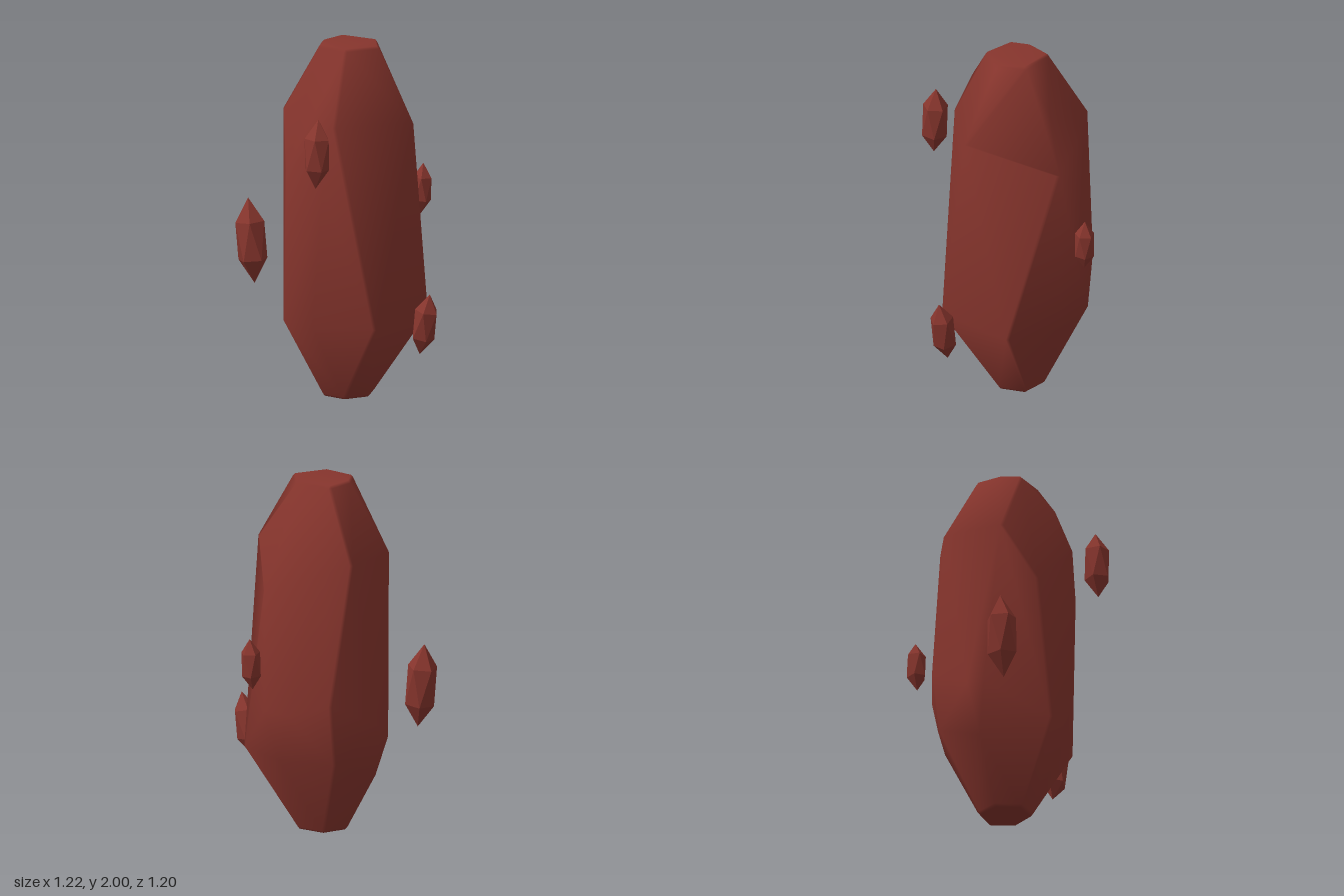
import * as THREE from 'three';
import { ConvexGeometry } from 'three/addons/geometries/ConvexGeometry.js';
import { mergeVertices } from 'three/addons/utils/BufferGeometryUtils.js';

const stone = new THREE.MeshStandardMaterial({ color: 0x87352d });
const stoneFlat = new THREE.MeshStandardMaterial({ color: 0x87352d, flatShading: true });

// Corners of the monolith as [x, y, z], from the flat top down to the base
const CORNERS = [
  // top cap
  [0.16, 2, 0.02], [0.06, 2, 0.19], [-0.12, 2, 0.18], [-0.17, 2, 0.08], [-0.15, 2, -0.07], [0.06, 2, -0.1],
  // shoulders
  [0.04, 1.82, 0.31], [0.03, 1.75, -0.25],
  [0.41, 1.6, 0.03], [0.12, 1.6, 0.38], [-0.37, 1.6, 0.18], [-0.37, 1.6, -0.17],
  [-0.25, 1.55, -0.25], [0.08, 1.43, -0.38],
  // waist
  [0.08, 1.27, 0.42], [-0.24, 1.3, 0.34], [-0.09, 0.74, -0.38], [0.08, 0.74, -0.38],
  [-0.3, 0.8, -0.28], [-0.435, 0.65, 0], [-0.42, 0.65, 0.1],
  // lower ring
  [0.33, 0.46, -0.22], [0.33, 0.46, 0.28], [0, 0.46, 0.41], [-0.2, 0.46, 0.41],
  [-0.37, 0.35, 0.05], [-0.3, 0.46, -0.24], [0, 0.46, -0.34],
  // base
  [0.11, 0, 0.04], [0.04, 0, 0.17], [-0.1, 0, 0.17], [-0.17, 0, 0.05], [-0.11, 0, -0.08], [0.05, 0, -0.09],
];

// Convex rock: a small octahedron at each corner gives narrow worn bevels,
// and area-weighted normals keep the broad faces flat.
function createMonolith() {
  const r = 0.014;
  const points = [];
  for (const [x, y, z] of CORNERS) {
    const c = new THREE.Vector3(x, y, z);
    c.set(x * (1 - r / 0.4), THREE.MathUtils.clamp(y, r, 2 - r), z * (1 - r / 0.4));
    for (const s of [-r, r]) {
      points.push(
        new THREE.Vector3(c.x + s, c.y, c.z),
        new THREE.Vector3(c.x, c.y + s, c.z),
        new THREE.Vector3(c.x, c.y, c.z + s));
    }
  }
  const hull = new ConvexGeometry(points);
  hull.deleteAttribute('normal');
  const geometry = mergeVertices(hull, 1e-5);
  geometry.computeVertexNormals();
  const mesh = new THREE.Mesh(geometry, stone);
  mesh.name = 'monolith';
  return mesh;
}

// Stretched twenty-sided shard running from its lower tip to its upper tip
function createShard(name, bottom, top, radius, spin) {
  const a = new THREE.Vector3(...bottom);
  const b = new THREE.Vector3(...top);
  const geometry = new THREE.IcosahedronGeometry(1, 0);
  geometry.rotateZ(-Math.atan(2 / (1 + Math.sqrt(5)))); // stand on a corner
  geometry.rotateY(spin);
  geometry.scale(radius, a.distanceTo(b) / 2, radius);
  const mesh = new THREE.Mesh(geometry, stoneFlat);
  mesh.name = name;
  mesh.position.copy(a).add(b).multiplyScalar(0.5);
  mesh.quaternion.setFromUnitVectors(new THREE.Vector3(0, 1, 0), b.sub(a).normalize());
  return mesh;
}

export function createModel() {
  const group = new THREE.Group();
  group.name = 'floatingRock';
  group.add(
    createMonolith(),
    createShard('rightShard', [-0.505, 0.6, 0.26], [-0.55, 1.08, 0.26], 0.094, 0.3),
    createShard('frontShard', [0.115, 1.29, 0.54], [0.12, 1.68, 0.52], 0.08, 0.1),
    createShard('leftShard', [0.49, 0.31, 0.08], [0.56, 0.66, 0.08], 0.074, 0),
    createShard('backShard', [0.045, 0.91, -0.535], [0.055, 1.2, -0.55], 0.061, 0.2),
  );
  return group;
}
